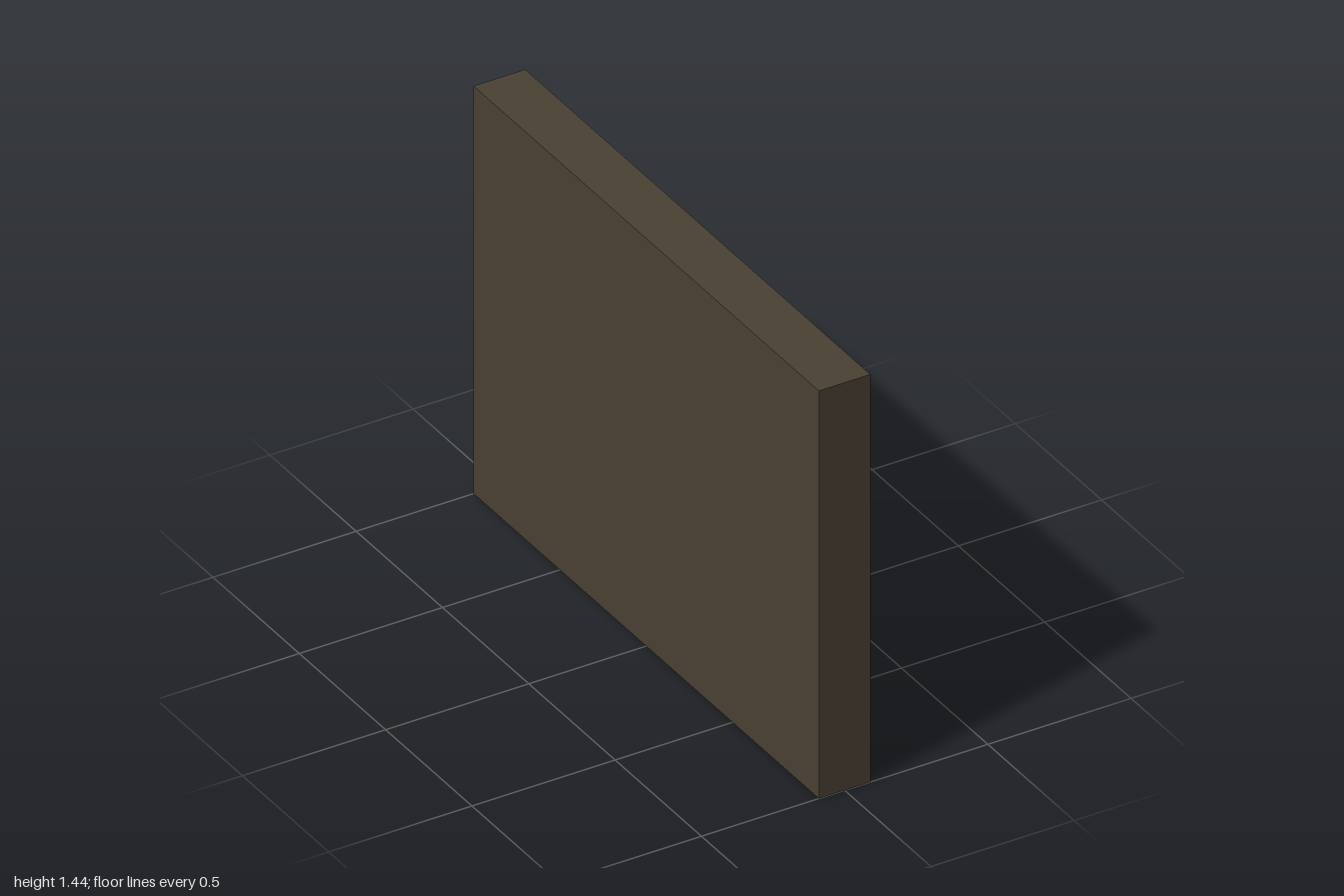
import * as THREE from 'three';

const W = 2, H = 1.44, D = 0.18;           // outer length (z), height (y), depth (x)
const IN_W = 0.905, LOW = 0.095, HIGH = 1.35; // opening: half length, bottom, top
const FACE = 0.03;                         // x of the recessed picture

const mat = (name, color) => {
  const m = new THREE.MeshStandardMaterial({ color });
  m.name = name;
  return m;
};

// Closed polygon in (u, y), where u runs to the right on the picture side (u = -z)
const polygon = (points) => new THREE.Shape(points.map(([u, y]) => new THREE.Vector2(u, y)));
const rect = (half, y0, y1) => polygon([[-half, y0], [half, y0], [half, y1], [-half, y1]]);

export function createModel() {
  const wood = mat('darkWood', 0x4b4134);
  const sky = mat('duskBlue', 0x42414e);
  const sun = mat('paleYellow', 0x6f7241);
  const grass = mat('darkGreen', 0x3a4735);

  const group = new THREE.Group();
  group.name = 'framedLandscape';

  const add = (name, geometry, material, x) => {
    geometry.rotateY(Math.PI / 2); // turn the drawing plane to face +x
    const mesh = new THREE.Mesh(geometry, material);
    mesh.name = name;
    mesh.position.x = x;
    group.add(mesh);
  };
  const paint = (name, shape, material, lift) =>
    add(name, new THREE.ShapeGeometry(shape, 32), material, FACE + lift);

  // Solid back and raised border
  const backDepth = FACE + D / 2;
  const back = new THREE.ExtrudeGeometry(rect(W / 2, 0, H), { depth: backDepth, bevelEnabled: false });
  add('backBoard', back, wood, -D / 2);

  const border = rect(W / 2, 0, H);
  border.holes.push(rect(IN_W, LOW, HIGH));
  add('frame', new THREE.ExtrudeGeometry(border, { depth: D / 2 - FACE, bevelEnabled: false }), wood, FACE);

  // Painted landscape
  paint('sky', rect(IN_W, 0.738, HIGH), sky, 0.002);
  paint('hills', rect(IN_W, 0.45, 0.738), wood, 0.001);

  const ridge = [
    [0.905, 0.468], [0.74, 0.46], [0.61, 0.442], [0.5, 0.465], [0.37, 0.465],
    [0.26, 0.44], [0.13, 0.455], [0, 0.465], [-0.04, 0.43], [-0.11, 0.425],
    [-0.16, 0.45], [-0.3, 0.44], [-0.38, 0.453], [-0.48, 0.44],
    [-0.52, 0.462], [-0.65, 0.466], [-0.78, 0.458], [-0.905, 0.468],
  ];
  paint('meadow', polygon([[-IN_W, LOW], [IN_W, LOW], ...ridge]), grass, 0.002);

  const disc = new THREE.Shape();
  disc.absellipse(0.575, 0.932, 0.17, 0.141, 0, Math.PI * 2);
  paint('sun', disc, sun, 0.004);

  return group;
}
